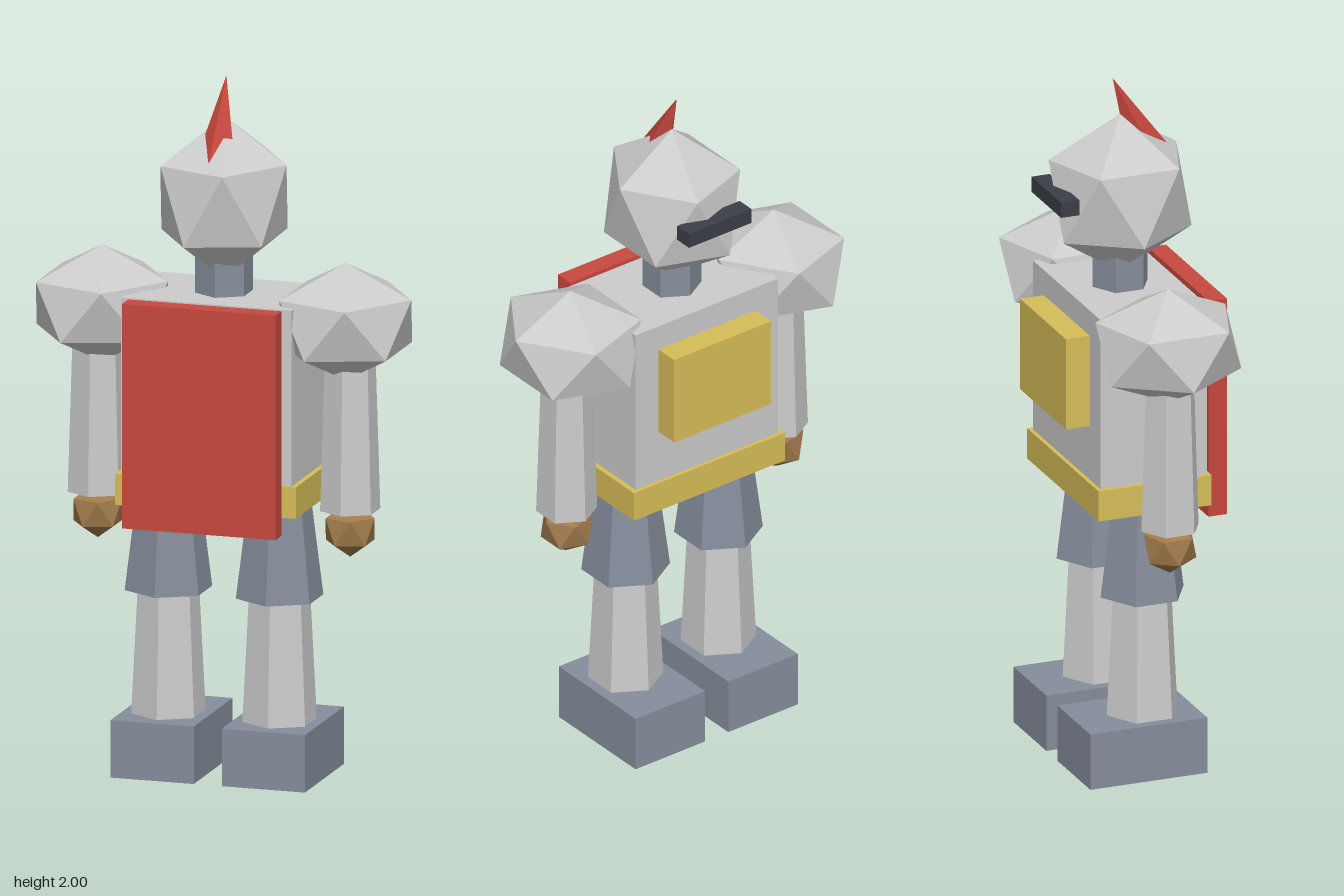
import * as THREE from 'three';
import { ConvexGeometry } from 'three/addons/geometries/ConvexGeometry.js';

const mat = (color) => new THREE.MeshStandardMaterial({ color, flatShading: true });

// Icosahedron standing on a pole, radius 1
function poleIcosahedron() {
  const pts = [new THREE.Vector3(0, 1, 0), new THREE.Vector3(0, -1, 0)];
  const h = 1 / Math.sqrt(5), r = 2 * h;
  for (let i = 0; i < 5; i++) {
    const a = (i * 2 * Math.PI) / 5;
    pts.push(new THREE.Vector3(r * Math.cos(a), h, r * Math.sin(a)));
    pts.push(new THREE.Vector3(-r * Math.cos(a), -h, r * Math.sin(a)));
  }
  return new ConvexGeometry(pts);
}

export function createModel() {
  const model = new THREE.Group();
  model.name = 'armouredFigure';
  const silver = mat(0xcccccc), steel = mat(0x868e9c), gold = mat(0xd6bd58);
  const red = mat(0xc8483f), leather = mat(0xa07a4c), dark = mat(0x3c3e46);

  const add = (name, geometry, material, x, y, z) => {
    const mesh = new THREE.Mesh(geometry, material);
    mesh.name = name;
    mesh.position.set(x, y, z);
    model.add(mesh);
    return mesh;
  };
  // Box from its lowest and highest corners
  const box = (name, material, [x0, y0, z0], [x1, y1, z1]) =>
    add(name, new THREE.BoxGeometry(x1 - x0, y1 - y0, z1 - z0), material,
      (x0 + x1) / 2, (y0 + y1) / 2, (z0 + z1) / 2);
  // Six-sided tapered column between two heights
  const column = (name, material, x, y0, y1, r0, r1) =>
    add(name, new THREE.CylinderGeometry(r1, r0, y1 - y0, 6), material, x, (y0 + y1) / 2, 0);
  // Faceted ball with its own radius on each axis
  const ball = (name, material, x, y, rx, ry, rz) =>
    add(name, poleIcosahedron().scale(rx, ry, rz), material, x, y, 0);

  // Body
  box('torso', silver, [-0.25, 0.83, -0.16], [0.25, 1.385, 0.16]);
  box('belt', gold, [-0.265, 0.79, -0.172], [0.265, 0.88, 0.168]);
  box('chestPlate', gold, [-0.17, 1.04, -0.232], [0.17, 1.31, -0.155]);
  box('cape', red, [-0.225, 0.74, 0.175], [0.225, 1.385, 0.23]);

  // Head, visor and crest
  column('neck', steel, 0, 1.37, 1.52, 0.083, 0.083);
  ball('head', silver, 0, 1.655, 0.205, 0.235, 0.226);
  box('visor', dark, [-0.11, 1.65, -0.222], [0.11, 1.695, -0.167]);
  const crest = add('crest', new THREE.ConeGeometry(0.06, 0.26, 4), red, 0, 1.881, 0.031);
  crest.rotation.x = -0.42;

  // Limbs on both sides
  for (const [side, s] of [['left', 1], ['right', -1]]) {
    ball(side + 'Shoulder', silver, s * 0.357, 1.325, 0.215, 0.168, 0.23);
    column(side + 'Arm', silver, s * 0.37, 0.785, 1.3, 0.086, 0.07);
    ball(side + 'Hand', leather, s * 0.37, 0.73, 0.08, 0.08, 0.083);
    column(side + 'Thigh', steel, s * 0.163, 0.52, 0.82, 0.125, 0.087);
    column(side + 'Shin', silver, s * 0.163, 0.15, 0.54, 0.107, 0.087);
    const foot = box(side + 'Foot', steel, [-0.122, 0, -0.205], [0.122, 0.165, 0.147]);
    foot.position.x = s * 0.163;
  }
  return model;
}
